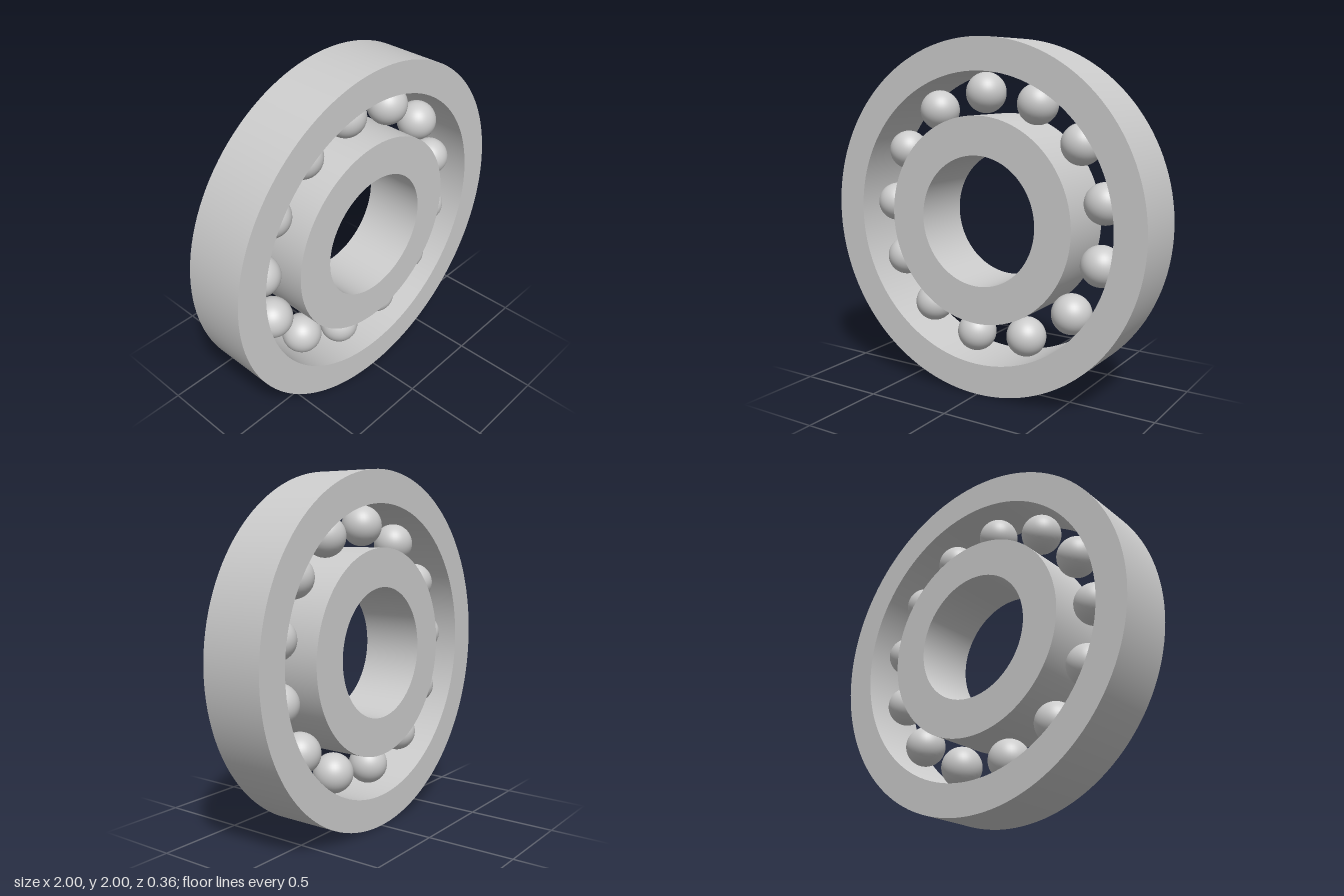
import * as THREE from 'three';
import { mergeGeometries } from 'three/addons/utils/BufferGeometryUtils.js';

const HALF_WIDTH = 0.182;
const BALLS = 13;
const BALL_RADIUS = 0.114;
const PITCH_RADIUS = 0.702;
const FIRST_BALL = THREE.MathUtils.degToRad(94.2);

// Ring with a rectangular section; each edge is lathed separately to keep the rims sharp
function ringGeometry(inner, outer) {
  const corners = [
    [inner, -HALF_WIDTH], [outer, -HALF_WIDTH], [outer, HALF_WIDTH], [inner, HALF_WIDTH],
  ].map(([r, y]) => new THREE.Vector2(r, y));
  const sides = corners.map((p, i) => new THREE.LatheGeometry([p, corners[(i + 1) % 4]], 128));
  return mergeGeometries(sides).rotateX(Math.PI / 2);
}

export function createModel() {
  const model = new THREE.Group();
  model.name = 'ballBearing';
  const material = new THREE.MeshStandardMaterial({ color: 0xcccccc });

  const add = (name, geometry, parent = model) => {
    const mesh = new THREE.Mesh(geometry, material);
    mesh.name = name;
    parent.add(mesh);
    return mesh;
  };

  // Outer and inner races
  add('outerRing', ringGeometry(0.82, 1)).position.y = 1;
  add('innerRing', ringGeometry(0.366, 0.582)).position.y = 1;

  // Balls evenly spaced between the races
  const balls = new THREE.Group();
  balls.name = 'balls';
  balls.position.y = 1;
  model.add(balls);
  const ballGeometry = new THREE.SphereGeometry(BALL_RADIUS, 40, 24);
  for (let i = 0; i < BALLS; i++) {
    const angle = FIRST_BALL + (i / BALLS) * Math.PI * 2;
    add(`ball${i + 1}`, ballGeometry, balls)
      .position.set(PITCH_RADIUS * Math.cos(angle), PITCH_RADIUS * Math.sin(angle), 0);
  }

  return model;
}
